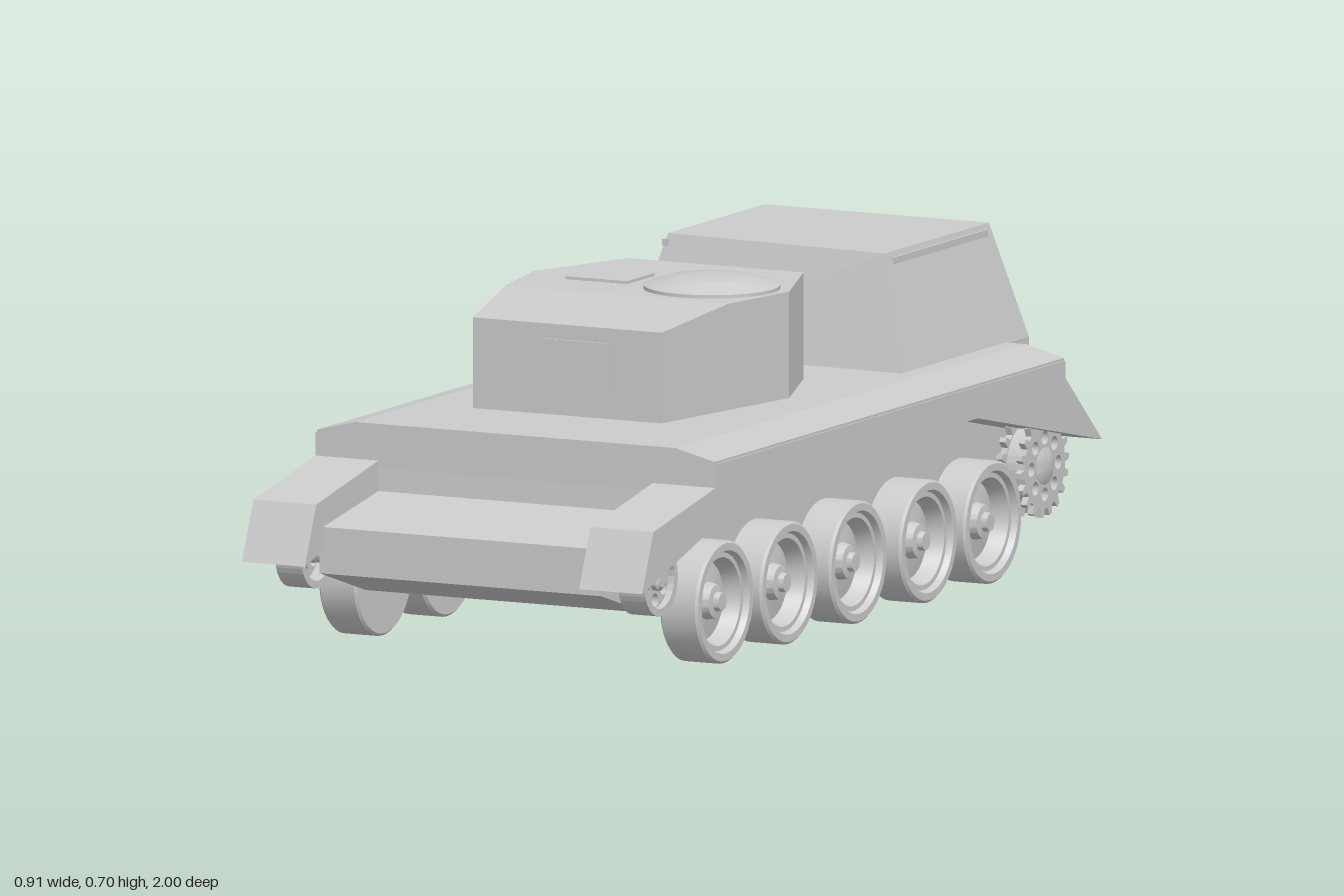
import * as THREE from 'three';
import { toCreasedNormals } from 'three/addons/utils/BufferGeometryUtils.js';

const material = new THREE.MeshStandardMaterial({ color: 0xcccccc });

function add(parent, name, geometry, x = 0, y = 0, z = 0) {
  const mesh = new THREE.Mesh(geometry, material);
  mesh.name = name;
  mesh.position.set(x, y, z);
  parent.add(mesh);
  return mesh;
}

const shapeOf = (points) => new THREE.Shape(points.map(([a, b]) => new THREE.Vector2(a, b)));

// Extrude a (z, y) side profile across x from x0 to x1
function sideExtrude(points, x0, x1) {
  const geo = new THREE.ExtrudeGeometry(shapeOf(points.map(([z, y]) => [-z, y])), { depth: x1 - x0, bevelEnabled: false });
  return geo.rotateY(Math.PI / 2).translate(x0, 0, 0);
}

// Closed solid from rows of [left, right] corners, ordered front to back
function rowSolid(bottom, top) {
  const pos = [];
  const quad = (a, b, c, d) => pos.push(...a, ...b, ...c, ...a, ...c, ...d);
  const ring = (rows) => [...rows.map((r) => r[1]), ...rows.map((r) => r[0]).reverse()];
  const lo = ring(bottom), hi = ring(top);
  lo.forEach((p, i) => {
    const j = (i + 1) % lo.length;
    quad(p, lo[j], hi[j], hi[i]);
  });
  for (let i = 0; i < top.length - 1; i++) {
    quad(top[i][0], top[i][1], top[i + 1][1], top[i + 1][0]);
    quad(bottom[i][1], bottom[i][0], bottom[i + 1][0], bottom[i + 1][1]);
  }
  const geo = new THREE.BufferGeometry();
  geo.setAttribute('position', new THREE.Float32BufferAttribute(pos, 3));
  geo.computeVertexNormals();
  return geo;
}

// Turned part whose axis is y, with crisp edges
function turned(points, segments = 40) {
  const geo = new THREE.LatheGeometry(points.map(([r, h]) => new THREE.Vector2(r, h)), segments);
  return toCreasedNormals(geo, 0.5);
}

// Flat disc with round holes, axis along y, centred at height h
function piercedDisc(outline, holes, depth, h) {
  const shape = shapeOf(outline);
  holes.forEach(([x, y, r]) => shape.holes.push(new THREE.Path().absarc(x, y, r, 0, Math.PI * 2, true)));
  const geo = new THREE.ExtrudeGeometry(shape, { depth, bevelEnabled: false, curveSegments: 12 });
  return geo.translate(0, 0, -depth / 2).rotateX(-Math.PI / 2).translate(0, h, 0);
}

function circle(r, n = 36) {
  return Array.from({ length: n }, (_, i) => [r * Math.cos((i / n) * 2 * Math.PI), r * Math.sin((i / n) * 2 * Math.PI)]);
}

function holeRing(count, radius, size) {
  return circle(radius, count).map(([x, y]) => [x, y, size]);
}

// Road wheel with rim, dish and hub
const wheelGeo = turned([
  [0, -0.043], [0.12, -0.043], [0.125, -0.038], [0.125, 0.038], [0.12, 0.043], [0.105, 0.043],
  [0.1, 0.03], [0.09, 0.03], [0.08, -0.005], [0.038, 0.002], [0.034, 0.022], [0.02, 0.024], [0.018, 0.036], [0, 0.036],
]);

function makeSprocket() {
  const g = new THREE.Group();
  const teeth = [];
  const n = 18;
  for (let i = 0; i < n; i++) {
    [[0, 0.088], [0.4, 0.088], [0.55, 0.105], [0.85, 0.105]].forEach(([f, r]) => {
      const a = ((i + f) / n) * Math.PI * 2;
      teeth.push([r * Math.cos(a), r * Math.sin(a)]);
    });
  }
  for (const h of [-0.022, 0.022]) add(g, 'toothedDisc', piercedDisc(teeth, holeRing(8, 0.058, 0.014), 0.014, h));
  add(g, 'sprocketDrum', piercedDisc(circle(0.084), [[0, 0, 0.075]], 0.05, 0));
  add(g, 'sprocketHub', turned([[0, -0.04], [0.038, -0.04], [0.038, 0.03], [0.025, 0.036], [0, 0.036]], 24));
  return g;
}

function makeIdler() {
  const g = new THREE.Group();
  add(g, 'idlerRim', piercedDisc(circle(0.073), [[0, 0, 0.058]], 0.06, 0));
  add(g, 'idlerDisc', piercedDisc(circle(0.062), holeRing(6, 0.042, 0.014), 0.016, 0.008));
  add(g, 'idlerHub', turned([[0, -0.03], [0.022, -0.03], [0.022, 0.028], [0.014, 0.034], [0, 0.034]], 20));
  return g;
}

export function createModel() {
  const model = new THREE.Group();
  model.name = 'armouredVehicle';

  // Lower hull
  add(model, 'hull', sideExtrude([
    [0.68, 0.31], [0.92, 0.27], [0.92, 0.175], [0.72, 0.113], [-0.75, 0.113], [-0.94, 0.3], [-0.94, 0.445], [0.675, 0.44],
  ], -0.32, 0.32));

  // Upper hull with bevelled shoulders
  const section = shapeOf([[-0.452, 0.357], [0.452, 0.357], [0.452, 0.425], [0.365, 0.447], [-0.365, 0.447], [-0.452, 0.425]]);
  add(model, 'upperHull', new THREE.ExtrudeGeometry(section, { depth: 1.52, bevelEnabled: false }), 0, 0, -0.84);

  // Rear compartment, its front slightly skewed
  add(model, 'rearCompartment', rowSolid(
    [[[-0.32, 0.445, -0.41], [0.32, 0.445, -0.385]], [[-0.32, 0.445, -0.94], [0.32, 0.445, -0.94]]],
    [[[-0.255, 0.68, -0.47], [0.255, 0.68, -0.437]], [[-0.255, 0.68, -0.89], [0.255, 0.68, -0.89]]],
  ));

  // Turret, its roof dropping towards the front
  const plan = [[0.215, 0.455, 0.64], [0.254, 0.24, 0.672], [0.29, 0.045, 0.672], [0.2, -0.19, 0.672]];
  const turret = new THREE.Group();
  turret.name = 'turret';
  model.add(turret);
  add(turret, 'turretBody', rowSolid(
    plan.map(([x, z]) => [[-x, 0.455, z], [x, 0.455, z]]),
    plan.map(([x, z, y]) => [[-x, y, z], [x, y, z]]),
  ));
  add(turret, 'turretRing', new THREE.CylinderGeometry(0.183, 0.183, 0.016, 48), 0, 0.45, 0.11);
  add(turret, 'cupola', turned([
    [0, 0], [0.138, 0], [0.138, 0.009], [0.125, 0.015], [0.095, 0.022], [0.09, 0.025], [0.05, 0.028], [0, 0.029],
  ], 48), 0.13, 0.67, 0.075);
  add(turret, 'roofHatch', new THREE.BoxGeometry(0.14, 0.008, 0.12), -0.115, 0.674, 0.05);
  add(turret, 'frontHatch', new THREE.BoxGeometry(0.15, 0.095, 0.008), 0.02, 0.562, 0.455);

  // Running gear and fenders on both sides
  for (const s of [-1, 1]) {
    add(model, 'fender', sideExtrude([
      [1, 0.2], [0.95, 0.32], [0.68, 0.372], [0.68, 0.42], [-0.84, 0.42], [-0.84, 0.385], [-1, 0.237], [-0.46, 0.355], [0.48, 0.355],
    ], s > 0 ? 0.312 : -0.455, s > 0 ? 0.455 : -0.312));
    add(model, 'compartmentStrip', new THREE.BoxGeometry(0.012, 0.014, 0.41), s * 0.257, 0.662, -0.665);

    const place = (part, name, x, y, z) => {
      part.name = name;
      part.position.set(s * x, y, z);
      part.rotation.z = -s * Math.PI / 2;
      model.add(part);
      const axle = add(model, 'axle', new THREE.CylinderGeometry(0.02, 0.02, 0.08, 16), s * 0.34, y, z);
      axle.rotation.z = Math.PI / 2;
    };
    for (const z of [0.59, 0.31, 0.01, -0.295, -0.575]) place(new THREE.Mesh(wheelGeo, material), 'roadWheel', 0.388, 0.125, z);
    place(makeSprocket(), 'driveSprocket', 0.39, 0.205, -0.82);
    place(makeIdler(), 'idlerWheel', 0.39, 0.205, 0.85);
  }
  return model;
}
